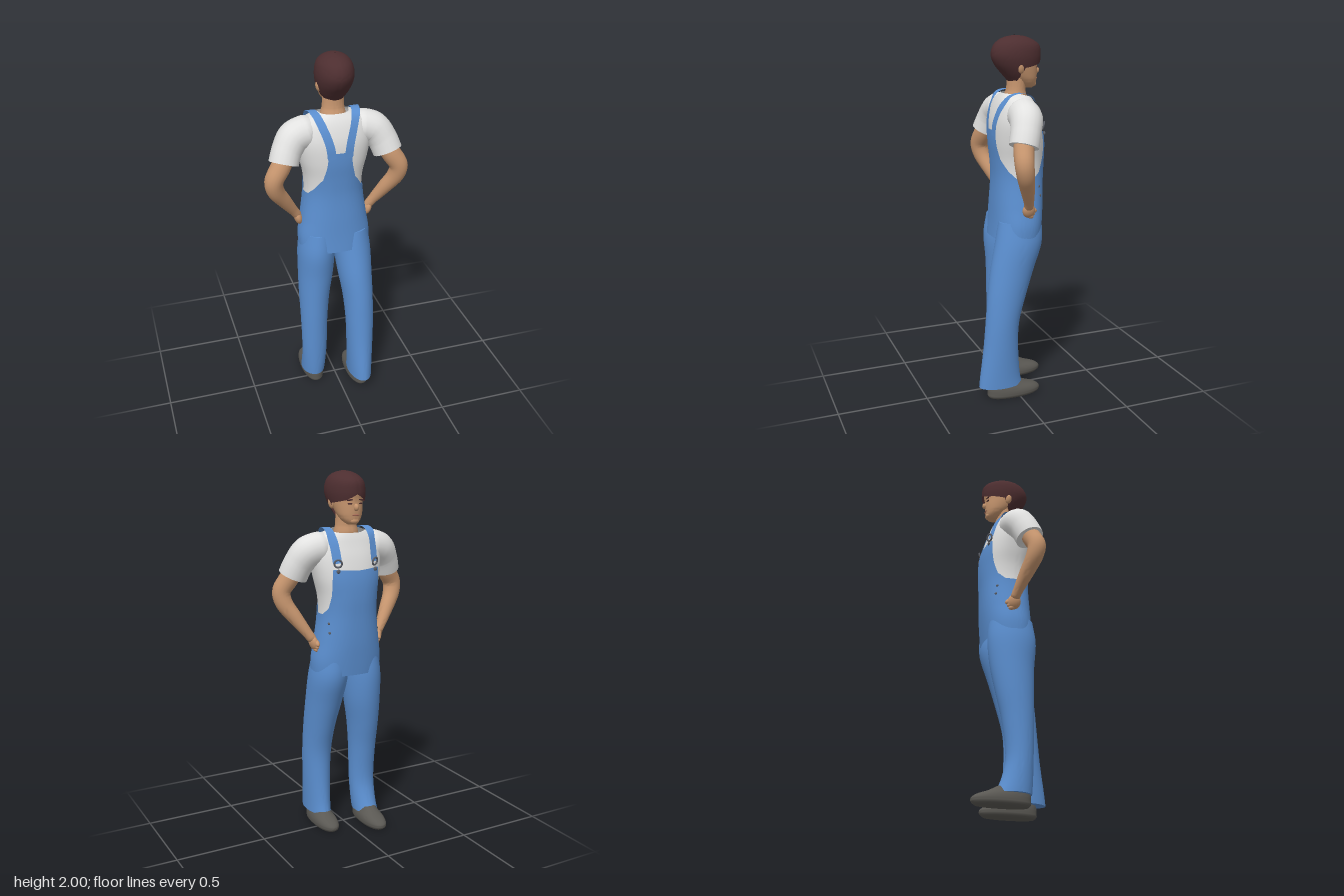
import * as THREE from 'three';
import { mergeVertices, toCreasedNormals } from 'three/addons/utils/BufferGeometryUtils.js';

const material = (name, color, side = THREE.DoubleSide) => {
  const m = new THREE.MeshStandardMaterial({ color, side });
  m.name = name;
  return m;
};

// Piecewise linear lookup in [[key, value], ...]
function ramp(table, k) {
  let i = 0;
  while (i < table.length - 2 && k > table[i + 1][0]) i++;
  const [[k0, v0], [k1, v1]] = [table[i], table[i + 1]];
  return v0 + (v1 - v0) * THREE.MathUtils.clamp((k - k0) / (k1 - k0), 0, 1);
}

// Smooth cross-section at height y; rows are [y, centreX, halfWidth, zFront, zBack]
function section(rows, y) {
  let i = 0;
  while (i < rows.length - 2 && y > rows[i + 1][0]) i++;
  const a = rows[i], b = rows[i + 1], h = b[0] - a[0];
  const p = rows[Math.max(i - 1, 0)], n = rows[Math.min(i + 2, rows.length - 1)];
  const t = THREE.MathUtils.clamp((y - a[0]) / h, 0, 1), t2 = t * t, t3 = t2 * t;
  return a.map((va, k) => {
    const ma = (b[k] - p[k]) / (b[0] - p[0]) * h, mb = (n[k] - va) / (n[0] - a[0]) * h;
    return va * (2 * t3 - 3 * t2 + 1) + ma * (t3 - 2 * t2 + t) + b[k] * (3 * t2 - 2 * t3) + mb * (t3 - t2);
  });
}

// Skin over the rows, from low(angle) to high(angle); angle 0 faces -z, PI faces +z
function loft(rows, { low, high, offset = 0, power = 2, seg = 48, steps = 28, caps = true } = {}) {
  const pos = [], index = [], first = rows[0][0], last = rows[rows.length - 1][0];
  const ring = (t, squeeze) => {
    for (let j = 0; j < seg; j++) {
      const a = j / seg * Math.PI * 2, s = Math.sin(a), c = Math.cos(a);
      const fold = Math.min(a, Math.PI * 2 - a);
      const y0 = low ? low(fold) : first, y1 = high ? high(fold) : last;
      const y = y0 + (y1 - y0) * t, [, x, rx, zf, zb] = section(rows, y);
      const e = 2 / power;
      pos.push(x + squeeze * (rx + offset) * Math.sign(s) * Math.abs(s) ** e, y,
        (zf + zb) / 2 - squeeze * ((zb - zf) / 2 + offset) * Math.sign(c) * Math.abs(c) ** e);
    }
  };
  if (caps) ring(0, 0.001);
  for (let i = 0; i <= steps; i++) ring(i / steps, 1);
  if (caps) ring(1, 0.001);
  const rings = pos.length / 3 / seg;
  for (let i = 0; i < rings - 1; i++) for (let j = 0; j < seg; j++) {
    const a = i * seg + j, b = i * seg + (j + 1) % seg, c = a + seg, d = b + seg;
    index.push(a, c, b, b, c, d);
  }
  const g = new THREE.BufferGeometry();
  g.setAttribute('position', new THREE.Float32BufferAttribute(pos, 3));
  g.setIndex(index);
  return toCreasedNormals(g, 0.9);
}

// Round tube with a radius that varies along the path; points are [x, y, z, radius]
function limb(points, side = 1) {
  const curve = new THREE.CatmullRomCurve3(points.map(([x, y, z]) => new THREE.Vector3(x * side, y, z)));
  const n = 32, sides = 20, g = new THREE.TubeGeometry(curve, n, 1, sides), p = g.attributes.position;
  const v = new THREE.Vector3();
  for (let i = 0; i <= n; i++) {
    const c = curve.getPointAt(i / n), u = curve.getUtoTmapping(i / n) * (points.length - 1);
    const r = ramp(points.map((q, k) => [k, q[3]]), u);
    for (let j = 0; j <= sides; j++) {
      const k = i * (sides + 1) + j;
      v.fromBufferAttribute(p, k).sub(c).multiplyScalar(r).add(c);
      p.setXYZ(k, v.x, v.y, v.z);
    }
  }
  g.deleteAttribute('uv');
  g.deleteAttribute('normal');
  return toCreasedNormals(mergeVertices(g, 1e-5), 0.9);
}

const BODY = [
  [0.9, 0, 0.19, -0.145, 0.108], [1.0, 0, 0.192, -0.155, 0.1], [1.1, 0, 0.176, -0.163, 0.095],
  [1.25, 0, 0.157, -0.168, 0.088], [1.35, 0, 0.162, -0.172, 0.093], [1.45, 0, 0.185, -0.168, 0.102],
  [1.55, 0, 0.2, -0.148, 0.1], [1.62, 0, 0.19, -0.125, 0.083], [1.67, 0, 0.155, -0.108, 0.062],
  [1.7, 0, 0.08, -0.09, 0.04]];
const BODY_POWER = 2.3;

// Depth of the body surface at (x, y); dir -1 is the chest, +1 the back
function bodyZ(x, y, dir) {
  const [, , rx, zf, zb] = section(BODY, y), q = Math.min(Math.abs(x) / rx, 1) ** BODY_POWER;
  return (zf + zb) / 2 + dir * ((zb - zf) / 2 * (1 - q) ** (1 / BODY_POWER) + 0.009);
}

// Flat strap over one shoulder
function strap(side) {
  const path = [[0.045, 1.48, 1], [0.052, 1.54, 1], [0.068, 1.6, 1], [0.086, 1.65, 1], [0.104, 1.695, 0, 0.035],
    [0.115, 1.708, 0, -0.02], [0.12, 1.69, 0, -0.075], [0.118, 1.645, -1], [0.114, 1.6, -1], [0.111, 1.53, -1]];
  const edge = (d) => new THREE.CatmullRomCurve3(path.map(([x, y, dir, z]) =>
    new THREE.Vector3((x + d) * side, y, dir ? bodyZ(x + d, y, dir) : z))).getPoints(40);
  const a = edge(-0.023), b = edge(0.023), pos = [], index = [];
  a.forEach((p, i) => {
    pos.push(...p.toArray(), ...b[i].toArray());
    const k = i * 2;
    if (i < a.length - 1) index.push(...(side > 0 ? [k, k + 1, k + 2, k + 1, k + 3, k + 2]
      : [k, k + 2, k + 1, k + 1, k + 2, k + 3]));
  });
  const g = new THREE.BufferGeometry();
  g.setAttribute('position', new THREE.Float32BufferAttribute(pos, 3));
  g.setIndex(index);
  g.computeVertexNormals();
  return g;
}

export function createModel() {
  const group = new THREE.Group();
  group.name = 'workerInOveralls';
  const denim = material('denim', 0x5b8fd0), shirt = material('shirt', 0xe2e2e1);
  const skin = material('skin', 0xc6956e), hair = material('hair', 0x4d2e30);
  const shoe = material('shoe', 0x5a5853), metal = material('metal', 0x5d6068), lips = material('lips', 0xa86a58);
  const add = (name, geometry, mat) => {
    const m = new THREE.Mesh(geometry, mat);
    m.name = name;
    group.add(m);
    return m;
  };
  const blob = (name, mat, at, size, rot = [0, 0, 0]) => {
    const m = add(name, new THREE.SphereGeometry(1, 20, 14), mat);
    m.position.set(...at);
    m.scale.set(...size);
    m.rotation.set(...rot);
  };

  // Shirt body, and overalls cut to a bib in front and a narrow yoke behind
  add('shirtBody', loft(BODY, { low: () => 1.1, high: (a) => 1.7 - 0.02 * Math.max(0, Math.cos(a)),
    power: BODY_POWER, seg: 64, caps: false }), shirt);
  const bibEdge = [[0, 1.49], [0.69, 1.5], [0.75, 1.45], [0.9, 1.36], [1.09, 1.29], [1.4, 1.255], [1.95, 1.26],
    [2.3, 1.3], [2.66, 1.36], [2.82, 1.43], [2.89, 1.51], [Math.PI, 1.51]];
  add('overallsBody', loft(BODY, { low: () => 0.92, high: (a) => ramp(bibEdge, a), offset: 0.007,
    power: BODY_POWER, seg: 144, caps: false }), denim);

  // Trouser legs: one trailing, one stepping forward
  add('trailingLeg', loft([
    [0.075, 0.12, 0.066, -0.025, 0.228], [0.13, 0.12, 0.068, -0.012, 0.222], [0.3, 0.122, 0.074, 0, 0.2],
    [0.45, 0.122, 0.079, -0.005, 0.186], [0.6, 0.118, 0.085, -0.045, 0.172], [0.75, 0.108, 0.096, -0.095, 0.15],
    [0.9, 0.102, 0.102, -0.145, 0.12], [1.02, 0.095, 0.09, -0.145, 0.098]]), denim);
  add('forwardLeg', loft([
    [0.065, -0.132, 0.067, -0.115, 0.075], [0.13, -0.13, 0.069, -0.085, 0.08], [0.25, -0.128, 0.072, -0.058, 0.085],
    [0.45, -0.126, 0.077, -0.078, 0.09], [0.6, -0.12, 0.086, -0.11, 0.093], [0.75, -0.108, 0.098, -0.138, 0.1],
    [0.9, -0.102, 0.102, -0.152, 0.113], [1.02, -0.095, 0.09, -0.145, 0.098]]), denim);

  // Shoes
  for (const [name, x, toe, heel] of [['trailingShoe', 0.122, -0.13, 0.178], ['forwardShoe', -0.128, -0.235, 0.07]]) {
    add(name, loft([[0.002, x, 0.05, toe + 0.02, heel - 0.012], [0.015, x, 0.061, toe + 0.003, heel],
      [0.035, x, 0.063, toe, heel], [0.055, x, 0.06, toe + 0.025, heel], [0.075, x, 0.052, toe + 0.08, heel - 0.005],
      [0.1, x, 0.042, toe + 0.13, heel - 0.015]], { steps: 14, power: 2.2 }), shoe);
  }

  // Neck, head and hair
  add('neck', loft([[1.6, 0, 0.075, -0.085, 0.03], [1.68, 0, 0.068, -0.092, 0.03], [1.72, 0.002, 0.059, -0.085, 0.016],
    [1.8, 0.004, 0.056, -0.09, 0.012]]), skin);
  add('head', loft([[1.725, 0.005, 0.022, -0.128, -0.085], [1.738, 0.005, 0.04, -0.142, -0.05],
    [1.765, 0.005, 0.06, -0.147, -0.02], [1.8, 0.005, 0.072, -0.15, 0.02], [1.85, 0.006, 0.081, -0.15, 0.06],
    [1.9, 0.007, 0.083, -0.155, 0.08], [1.95, 0.008, 0.065, -0.125, 0.05], [1.975, 0.008, 0.03, -0.07, 0.01]]), skin);
  const hairline = [[0, 1.882], [0.25, 1.868], [0.6, 1.852], [1.2, 1.84], [1.5, 1.835], [1.6, 1.815], [1.72, 1.815],
    [1.82, 1.79], [2.1, 1.765], [2.6, 1.75], [Math.PI, 1.745]];
  add('hair', loft([[1.745, 0.004, 0.047, -0.1, 0.0], [1.77, 0.005, 0.062, -0.13, 0.018], [1.8, 0.006, 0.079, -0.15, 0.045],
    [1.85, 0.007, 0.094, -0.164, 0.086], [1.9, 0.008, 0.099, -0.169, 0.104], [1.95, 0.009, 0.088, -0.158, 0.09],
    [1.98, 0.01, 0.062, -0.115, 0.056], [1.995, 0.01, 0.03, -0.07, 0.015], [2.0, 0.01, 0.004, -0.028, -0.02]],
  { low: (a) => ramp(hairline, a), seg: 72, caps: false }), hair);
  blob('nose', skin, [0.005, 1.815, -0.15], [0.013, 0.019, 0.018], [0.35, 0, 0]);
  blob('mouth', lips, [0.005, 1.775, -0.1475], [0.021, 0.005, 0.004]);
  blob('chin', skin, [0.005, 1.745, -0.132], [0.026, 0.017, 0.016]);

  for (const s of [1, -1]) {
    const side = s > 0 ? 'Left' : 'Right';
    blob('ear' + side, skin, [0.005 + s * 0.084, 1.832, -0.03], [0.012, 0.028, 0.018], [0.15, 0, -s * 0.2]);
    blob('eye' + side, hair, [0.005 + s * 0.032, 1.834, -0.1425], [0.013, 0.004, 0.004], [0, -s * 0.25, 0]);
    blob('brow' + side, hair, [0.005 + s * 0.034, 1.853, -0.144], [0.018, 0.004, 0.004], [0, -s * 0.25, -s * 0.1]);

    // Sleeve, bent arm and hand resting at the pocket
    add('sleeve' + side, limb([[0.09, 1.6, -0.02, 0.06], [0.15, 1.6, -0.018, 0.088], [0.215, 1.58, -0.008, 0.087],
      [0.258, 1.525, 0.012, 0.08], [0.285, 1.455, 0.034, 0.079], [0.283, 1.46, 0.033, 0.045]], s), shirt);
    add('arm' + side, limb([[0.25, 1.53, 0.015, 0.05], [0.305, 1.44, 0.042, 0.053], [0.343, 1.375, 0.053, 0.05],
      [0.335, 1.315, 0.042, 0.047], [0.285, 1.235, 0.012, 0.039], [0.228, 1.15, -0.02, 0.027],
      [0.205, 1.115, -0.03, 0.025], [0.2, 1.1, -0.033, 0.005]], s), skin);
    blob('hand' + side, skin, [s * 0.197, 1.095, -0.033], [0.023, 0.043, 0.036], [0.3, 0, -s * 0.3]);
    for (let i = 0; i < 3; i++) {
      blob('finger' + side, skin, [s * 0.191, 1.068 + i * 0.015, -0.038 - i * 0.009], [0.014, 0.016, 0.027], [-0.5, 0, 0]);
    }

    // Strap, buckle and buttons
    add('strap' + side, strap(s), denim);
    const buckle = add('buckle' + side, new THREE.TorusGeometry(0.02, 0.005, 8, 20), metal);
    buckle.position.set(s * 0.111, 1.53, bodyZ(0.111, 1.53, -1) - 0.005);
    buckle.rotation.set(-0.2, s * -0.4, 0);
    blob('bibButton' + side, metal, [s * 0.111, 1.49, bodyZ(0.111, 1.49, -1) - 0.002], [0.011, 0.011, 0.006]);
    for (const y of [1.16, 1.21]) {
      blob('hipButton' + side, metal, [s * 0.145, y, bodyZ(0.145, y, -1)], [0.008, 0.008, 0.006], [0, -s * 0.8, 0]);
    }
  }
  return group;
}
